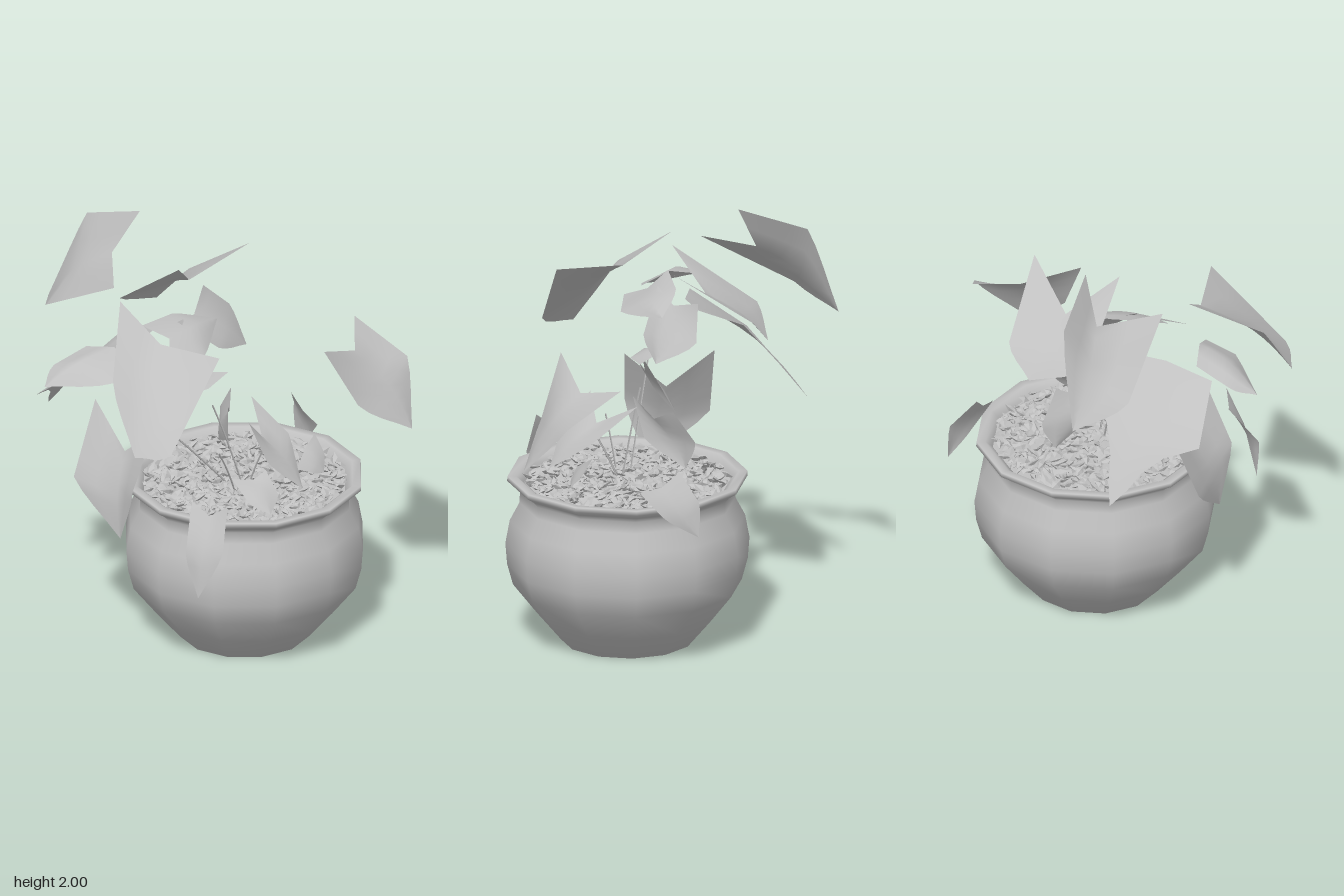
import * as THREE from 'three';
import { mergeGeometries } from 'three/addons/utils/BufferGeometryUtils.js';

const clay = new THREE.MeshStandardMaterial({ color: 0xc0c0c0, side: THREE.DoubleSide });
clay.name = 'plain grey';

const V = (a) => new THREE.Vector3(...a);
const POT_X = 0.105, POT_Z = 0.22;

function add(group, name, geometry) {
  const mesh = new THREE.Mesh(geometry, clay);
  mesh.name = name;
  group.add(mesh);
  return mesh;
}

function seeded(seed) {
  return () => {
    seed = (seed * 16807) % 2147483647;
    return seed / 2147483647;
  };
}

// Heart-shaped leaf: two ruled halves between the midrib (notch to tip) and an
// edge (rear lobe, shoulder, tip). taper draws the edge in near the tip, or
// rounds it outward when negative.
function leafGeometry(notch, tip, left, right, taper = -0.15) {
  const n = V(notch), t = V(tip), rows = 8, positions = [], index = [];
  const sides = [left, right].map((side) => side.map(V));
  const axis = t.clone().sub(n);
  const normal = sides[0][0].clone().sub(sides[1][0]).cross(axis).normalize();
  if (normal.y < 0) normal.negate();
  for (let i = 0; i <= rows; i++) {
    const s = i / rows, curve = Math.sin(Math.PI * s);
    const mid = n.clone().lerp(t, s).addScaledVector(normal, 0.08 * axis.length() * curve);
    const [a, b] = sides.map(([lobe, shoulder]) => {
      if (s <= 0.5) return lobe.clone().lerp(shoulder, s * 2);
      const p = shoulder.clone().lerp(t, s * 2 - 1);
      return p.lerp(mid, taper * Math.sin(Math.PI * (s * 2 - 1)));
    });
    const row = [a, a.clone().lerp(mid, 0.5), mid, b.clone().lerp(mid, 0.5), b];
    row.forEach((p) => positions.push(p.x, p.y, p.z));
    if (i < rows) {
      for (let j = 0; j < 4; j++) {
        const k = i * 5 + j;
        index.push(k, k + 1, k + 5, k + 1, k + 6, k + 5);
      }
    }
  }
  const geometry = new THREE.BufferGeometry();
  geometry.setAttribute('position', new THREE.Float32BufferAttribute(positions, 3));
  geometry.setIndex(index);
  geometry.computeVertexNormals();
  return geometry;
}

// Thin three-sided stem, slightly arched.
function stemGeometry(from, to) {
  const a = V(from), b = V(to);
  const mid = a.clone().lerp(b, 0.5);
  mid.y += 0.03;
  return new THREE.TubeGeometry(new THREE.QuadraticBezierCurve3(a, mid, b), 5, 0.005, 3);
}

export function createModel() {
  const model = new THREE.Group();
  model.name = 'pottedPlant';

  // Round-bellied pot with a flared, rolled rim
  const profile = [
    [0.27, 0.01], [0.305, 0], [0.415, 0.13], [0.525, 0.27], [0.552, 0.37], [0.56, 0.47], [0.54, 0.58],
    [0.495, 0.665], [0.493, 0.72], [0.515, 0.745], [0.552, 0.77], [0.55, 0.792], [0.51, 0.79],
    [0.48, 0.765], [0.465, 0.72],
  ].map(([r, y]) => new THREE.Vector2(r, y));
  const pot = add(model, 'pot', new THREE.LatheGeometry(profile, 12));
  pot.position.set(POT_X, 0, POT_Z);
  const base = add(model, 'potBase', new THREE.CircleGeometry(0.27, 12).rotateX(Math.PI / 2));
  base.position.set(POT_X, 0.01, POT_Z);

  // Soil bed covered by loose angular chips
  const soil = add(model, 'soil', new THREE.CircleGeometry(0.48, 12).rotateX(-Math.PI / 2));
  soil.position.set(POT_X, 0.752, POT_Z);
  const rand = seeded(4711);
  const chips = [];
  for (let i = 0; i < 560; i++) {
    const chip = new THREE.OctahedronGeometry(1, 0);
    chip.scale(0.014 + 0.01 * rand(), 0.008 + 0.006 * rand(), 0.026 + 0.016 * rand());
    chip.rotateZ((rand() - 0.5) * 1.6);
    chip.rotateX((rand() - 0.5) * 1.2);
    chip.rotateY(rand() * Math.PI * 2);
    const r = 0.46 * Math.sqrt((i + 0.5) / 560), angle = i * 2.39996;
    chip.translate(POT_X + r * Math.cos(angle), 0.758 + 0.022 * rand(), POT_Z + r * Math.sin(angle));
    chips.push(chip);
  }
  add(model, 'soilChips', mergeGeometries(chips));

  // Leaves: notch, tip, [left lobe, left shoulder], [right lobe, right shoulder], taper
  const leaf = (name, ...args) => add(model, name, leafGeometry(...args));
  leaf('topBackLeaf', [-0.14, 1.79, -0.39], [-0.17, 1.455, -0.77],
    [[-0.05, 2.0, -0.3], [-0.07, 1.89, -0.62]], [[-0.37, 1.77, -0.15], [-0.37, 1.54, -0.58]]);
  leaf('topLeaf', [0.11, 1.65, -0.14], [0.18, 1.44, -0.42],
    [[0.33, 1.82, 0.03], [0.31, 1.57, -0.34]], [[-0.1, 1.82, 0], [-0.09, 1.54, -0.39]]);
  leaf('backRightLeaf', [-0.36, 1.47, -0.08], [-0.3, 1.0, -0.64],
    [[-0.1, 1.5, -0.12], [-0.11, 1.42, -0.33]], [[-0.6, 1.44, -0.12], [-0.64, 1.24, -0.385]], 0.4);
  leaf('upperFrontLeaf', [0.0, 1.56, 0], [0.24, 1.36, 0.1],
    [[0.16, 1.62, -0.1], [0.31, 1.48, -0.08]], [[-0.17, 1.6, 0.06], [0.02, 1.43, 0.14]]);
  leaf('bigRightLeaf', [-0.42, 1.62, 0.2], [-0.79, 1.24, 0.4],
    [[-0.35, 1.63, 0.51], [-0.7, 1.28, 0.55]], [[-0.45, 1.77, -0.03], [-0.73, 1.54, 0.2]]);
  leaf('outerRightLeaf', [-0.5, 1.56, -0.02], [-0.83, 1.43, -0.14],
    [[-0.48, 1.5, 0.11], [-0.63, 1.46, 0.1]], [[-0.54, 1.53, -0.16], [-0.71, 1.48, -0.2]]);
  leaf('middleLeaf', [-0.26, 1.56, 0.1], [0.09, 1.53, 0.06],
    [[-0.36, 1.5, 0.2], [-0.17, 1.48, 0.23]], [[-0.34, 1.62, 0], [-0.12, 1.6, -0.02]]);
  leaf('bigLeftLeaf', [0.57, 1.34, 0.47], [0.67, 1.0, 0.74],
    [[0.74, 1.4, 0.3], [0.83, 1.25, 0.55]], [[0.3, 1.45, 0.54], [0.42, 1.17, 0.64]]);
  leaf('frontLeaf', [0.08, 1.03, 0.36], [0.12, 0.83, 0.58],
    [[0.19, 1.14, 0.18], [0.24, 1.0, 0.37]], [[-0.03, 1.15, 0.38], [-0.03, 0.99, 0.5]]);
  leaf('innerLeaf', [-0.14, 1.2, 0.12], [-0.12, 1.0, -0.02],
    [[-0.05, 1.3, 0.14], [-0.06, 1.14, 0.05]], [[-0.24, 1.24, 0.16], [-0.23, 1.1, 0.08]]);
  leaf('innerFlatLeaf', [-0.04, 1.31, 0.08], [-0.23, 1.28, 0.12],
    [[0.06, 1.3, 0.16], [-0.1, 1.28, 0.19]], [[0.06, 1.33, 0.02], [-0.12, 1.32, 0.01]]);
  leaf('innerLowLeaf', [0.13, 1.06, 0.1], [0.2, 0.84, -0.04],
    [[0.22, 1.12, 0.02], [0.25, 0.98, -0.08]], [[0.03, 1.14, 0.19], [0.08, 0.95, 0.14]]);
  leaf('droopingRightLeaf', [-0.45, 1.02, 0], [-0.56, 0.64, 0.08],
    [[-0.46, 1.18, 0.19], [-0.58, 0.92, 0.18]], [[-0.42, 1.2, -0.22], [-0.57, 0.86, -0.21]]);
  leaf('lowRightLeaf', [-0.43, 0.86, 0.53], [-0.55, 0.5, 0.57],
    [[-0.39, 0.92, 0.6], [-0.46, 0.72, 0.64]], [[-0.46, 0.92, 0.44], [-0.58, 0.72, 0.52]]);
  leaf('lowLeftLeaf', [0.61, 0.89, 0.1], [0.72, 0.68, -0.06],
    [[0.6, 0.86, 0.2], [0.66, 0.76, 0.1]], [[0.61, 0.96, 0.02], [0.71, 0.85, -0.06]]);
  leaf('smallRightLeaf', [-0.12, 0.93, 0.5], [-0.16, 0.82, 0.65],
    [[-0.05, 0.96, 0.51], [-0.06, 0.87, 0.6]], [[-0.21, 0.95, 0.45], [-0.22, 0.87, 0.57]]);
  leaf('smallLeftLeaf', [0.3, 0.92, 0.42], [0.34, 0.81, 0.5],
    [[0.38, 0.96, 0.4], [0.39, 0.88, 0.45]], [[0.2, 0.86, 0.46], [0.27, 0.83, 0.49]]);

  // Stems
  [
    [[0.02, 0.76, 0.2], [-0.49, 1.32, 0.05]],
    [[0.07, 0.76, 0.24], [-0.03, 1.16, 0.15]],
    [[0.0, 0.76, 0.26], [-0.14, 1.0, 0.3]],
    [[0.1, 0.76, 0.26], [0.09, 1.0, 0.38]],
  ].forEach(([from, to]) => add(model, 'stem', stemGeometry(from, to)));

  return model;
}
